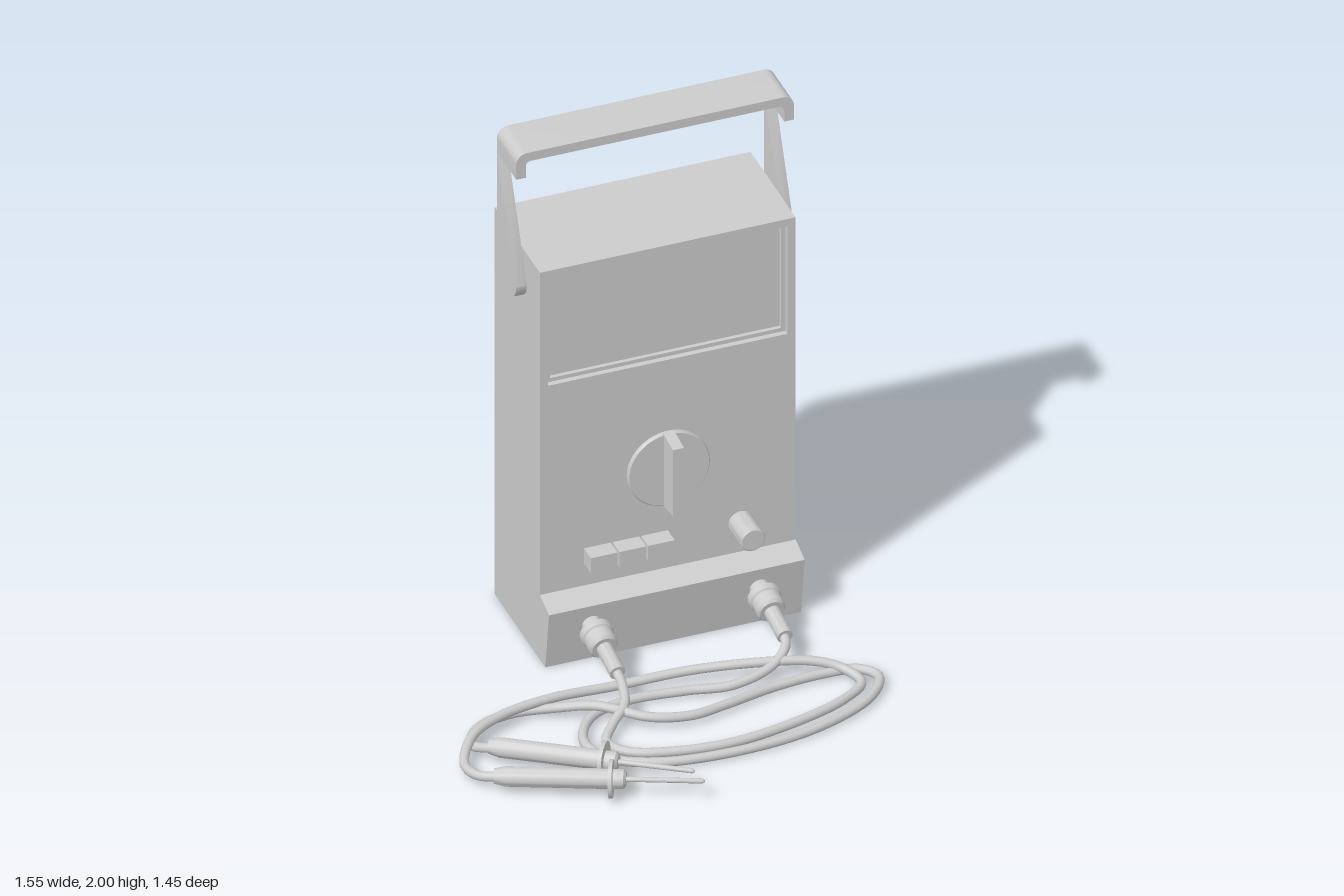
import * as THREE from 'three';
import { toCreasedNormals } from 'three/addons/utils/BufferGeometryUtils.js';

const grey = new THREE.MeshStandardMaterial({ color: 0xcccccc });
const CX = 0.195; // middle of the case
const V = (x, y, z) => new THREE.Vector3(x, y, z);

export function createModel() {
  const root = new THREE.Group();

  const add = (name, geometry, x = 0, y = 0, z = 0) => {
    const mesh = new THREE.Mesh(geometry, grey);
    mesh.name = name;
    mesh.position.set(x, y, z);
    root.add(mesh);
    return mesh;
  };
  const box = (name, x0, x1, y0, y1, z0, z1) =>
    add(name, new THREE.BoxGeometry(x1 - x0, y1 - y0, z1 - z0), (x0 + x1) / 2, (y0 + y1) / 2, (z0 + z1) / 2);
  const rect = (C, x0, x1, y0, y1) =>
    new C([[x0, y0], [x1, y0], [x1, y1], [x0, y1]].map(p => new THREE.Vector2(...p)));
  const extrude = (shape, depth) =>
    toCreasedNormals(new THREE.ExtrudeGeometry(shape, { depth, bevelEnabled: false, curveSegments: 10 }), 0.5);
  // Side profile drawn in (-z, y), swept from x0 to x1
  const sideways = (name, shape, x0, x1) => add(name, extrude(shape, x1 - x0).rotateY(Math.PI / 2), x0);
  const sideShape = pts => new THREE.Shape(pts.map(([z, y]) => new THREE.Vector2(-z, y)));
  // Turned part with profile [radius, distance], pointing from one point towards another
  const turned = (name, profile, from, to, segments = 32) => {
    const g = new THREE.LatheGeometry(profile.map(p => new THREE.Vector2(...p)), segments);
    const mesh = add(name, toCreasedNormals(g, 0.6), from.x, from.y, from.z);
    mesh.quaternion.setFromUnitVectors(V(0, 1, 0), to.clone().sub(from).normalize());
    return mesh;
  };

  // Case: rear shell, front panel with a window, stepped bezel
  box('caseShell', -0.27, 0.66, 0, 1.585, -0.7, -0.31);
  const panel = rect(THREE.Shape, -0.27, 0.66, 0, 1.585);
  panel.holes.push(rect(THREE.Path, -0.24, 0.63, 1.115, 1.555));
  add('frontPanel', extrude(panel, 0.035), 0, 0, -0.31);
  const bezel = rect(THREE.Shape, -0.24, 0.63, 1.115, 1.555);
  bezel.holes.push(rect(THREE.Path, -0.225, 0.615, 1.13, 1.54));
  add('windowBezel', extrude(bezel, 0.015), 0, 0, -0.31);

  // Protruding socket ledge at the foot of the case
  sideways('socketLedge', sideShape([[-0.28, 0], [-0.28, 0.267], [-0.275, 0.265], [-0.19, 0.235], [-0.225, 0]]), -0.27, 0.66);

  // Carrying handle: rounded top bow and two arms with rounded ends
  const [hx0, hx1, top, joint, t, r] = [-0.31, 0.7, 2, 1.9, 0.035, 0.04];
  const bow = new THREE.Shape();
  bow.moveTo(hx0, joint);
  bow.lineTo(hx0 + t, joint);
  bow.lineTo(hx0 + t, top - t - 0.02);
  bow.quadraticCurveTo(hx0 + t, top - t, hx0 + t + 0.02, top - t);
  bow.lineTo(hx1 - t - 0.02, top - t);
  bow.quadraticCurveTo(hx1 - t, top - t, hx1 - t, top - t - 0.02);
  bow.lineTo(hx1 - t, joint);
  bow.lineTo(hx1, joint);
  bow.lineTo(hx1, top - r);
  bow.absarc(hx1 - r, top - r, r, 0, Math.PI / 2);
  bow.absarc(hx0 + r, top - r, r, Math.PI / 2, Math.PI);
  add('handleBow', extrude(bow, 0.18), 0, 0, -0.575);
  const arm = new THREE.Shape();
  arm.moveTo(0.395, joint);
  arm.absarc(0.465, 1.46, 0.07, Math.PI, Math.PI * 1.5);
  arm.absarc(0.505, 1.46, 0.07, Math.PI * 1.5, Math.PI * 2);
  arm.lineTo(0.575, joint);
  sideways('handleArmRight', arm, hx0, hx0 + t + 0.004);
  sideways('handleArmLeft', arm, hx1 - t - 0.004, hx1);

  // Domed feet on the back
  for (const x of [-0.12, 0.51])
    for (const y of [0.14, 1.445])
      turned('backFoot', [[0.054, 0], [0.052, 0.01], [0.043, 0.02], [0.025, 0.028], [0, 0.03]], V(x, y, -0.7), V(x, y, -1));

  // Selector dial with a tapered grip
  turned('dial', [[0.15, 0], [0.15, 0.008], [0.145, 0.014], [0, 0.014]], V(CX, 0.675, -0.275), V(CX, 0.675, 0), 48);
  sideways('dialGrip', sideShape([[-0.27, 0.525], [-0.27, 0.825], [-0.175, 0.812], [-0.175, 0.543]]), CX - 0.02, CX + 0.02);

  // Push buttons and round knob
  for (let i = 0; i < 3; i++) {
    const x = -0.11 + i * 0.104;
    box('pushButton', x, x + 0.097, 0.355, 0.417, -0.28, -0.21);
  }
  turned('knob', [[0.045, 0], [0.045, 0.115], [0.04, 0.12], [0, 0.12]], V(0.46, 0.385, -0.275), V(0.46, 0.385, 0));

  // Plugs leaning slightly downwards out of the ledge
  const plug = [[0.036, 0], [0.036, 0.045], [0.058, 0.045], [0.058, 0.07], [0.052, 0.075], [0.052, 0.12],
    [0.044, 0.13], [0.028, 0.13], [0.028, 0.255], [0, 0.255]];
  for (const x of [-0.11, 0.5]) turned('plug', plug, V(x, 0.155, -0.21), V(x, 0.105, 0.04));

  // Test cables, points as [x, z, y]
  const cable = (name, pts) => {
    const curve = new THREE.CatmullRomCurve3(pts.map(([x, z, y = 0.02]) => V(x, y, z)), false, 'centripetal');
    add(name, new THREE.TubeGeometry(curve, 220, 0.017, 12));
  };
  cable('rightCable', [
    [-0.11, 0.02, 0.11], [-0.112, 0.09, 0.09], [-0.135, 0.17, 0.065], [-0.2, 0.23, 0.04], [-0.25, 0.3],
    [-0.2, 0.38], [-0.05, 0.435], [0.15, 0.455], [0.4, 0.415], [0.6, 0.345], [0.688, 0.27], [0.65, 0.19, 0.035],
    [0.56, 0.14, 0.055], [0.36, 0.085, 0.06], [0.15, 0.03, 0.045], [-0.11, 0.006, 0.03], [-0.35, 0.025, 0.05],
    [-0.55, 0.07, 0.055], [-0.68, 0.15, 0.055], [-0.755, 0.27, 0.035], [-0.74, 0.365, 0.045], [-0.66, 0.425, 0.06]]);
  cable('leftCable', [
    [0.5, 0.02, 0.11], [0.49, 0.07, 0.09], [0.42, 0.12, 0.055], [0.27, 0.145, 0.03], [0.11, 0.105], [-0.1, 0.09],
    [-0.245, 0.14], [-0.32, 0.27], [-0.28, 0.39], [-0.13, 0.475], [0.15, 0.51], [0.45, 0.475], [0.68, 0.37],
    [0.755, 0.26], [0.71, 0.195], [0.59, 0.178], [0.4, 0.195, 0.022], [0.21, 0.245, 0.03], [0.07, 0.272, 0.035],
    [-0.07, 0.245, 0.045], [-0.22, 0.13, 0.055], [-0.35, 0.055, 0.03], [-0.5, 0.022], [-0.63, 0.065, 0.022],
    [-0.687, 0.155, 0.025], [-0.66, 0.215, 0.045], [-0.61, 0.255, 0.06]]);

  // Hand probes: tapered grip, round finger guard, nose and thin needle
  const probe = (name, from, to) => {
    const n = from.distanceTo(to), g = n - 0.325;
    turned(name, [[0, 0], [0.026, 0], [0.035, 0.04], [0.035, g], [0.067, g], [0.067, g + 0.013], [0.034, g + 0.013],
      [0.034, g + 0.05], [0.024, g + 0.058], [0.009, g + 0.058], [0.009, n - 0.008], [0.004, n], [0, n]], from, to);
  };
  probe('rearProbe', V(-0.65, 0.058, 0.23), V(-0.065, 0.078, 0.65));
  probe('frontProbe', V(-0.7, 0.058, 0.405), V(-0.055, 0.078, 0.718));

  return root;
}
